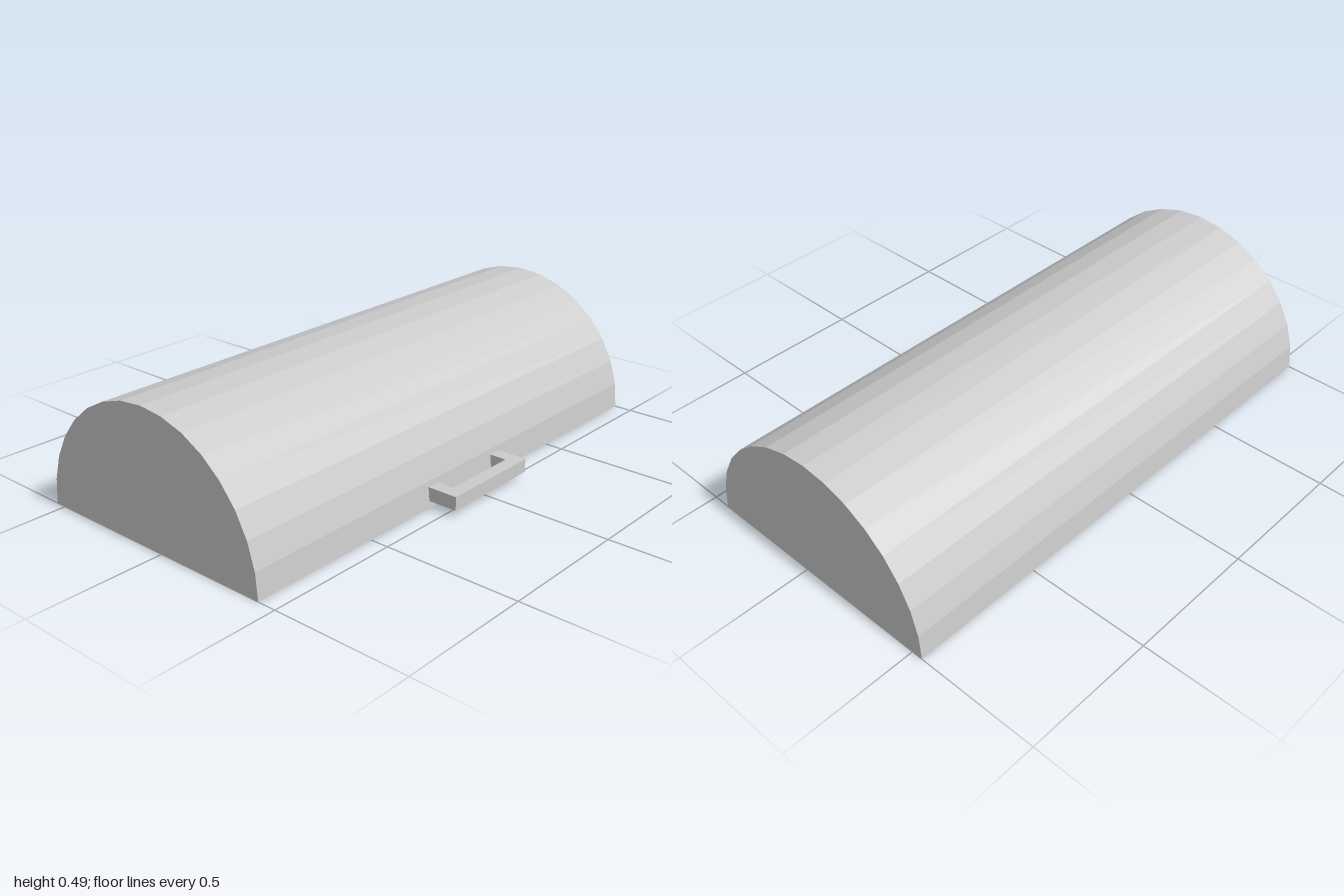
import * as THREE from 'three';

const RADIUS = 0.487, HALF = 1, WALL = 0.033, CENTER_Z = -0.055, SEGMENTS = 16;

const material = new THREE.MeshStandardMaterial({ color: 0xcccccc, flatShading: true });

function part(name, geometry) {
  const mesh = new THREE.Mesh(geometry, material);
  mesh.name = name;
  return mesh;
}

// Half cylinder lying along x with closed ends and an open underside
function halfDrum(radius, half, inward) {
  const indexed = new THREE.CylinderGeometry(radius, radius, half * 2, SEGMENTS, 1, false, 0, Math.PI);
  if (inward) indexed.index.array.reverse();
  const g = indexed.toNonIndexed();
  g.computeVertexNormals();
  g.rotateZ(Math.PI / 2);
  g.translate(0, 0, CENTER_Z);
  return g;
}

function polygon(points) {
  return points.map(([x, y]) => new THREE.Vector2(x, y));
}

function rectangle(hx, hy) {
  return polygon([[-hx, -hy], [hx, -hy], [hx, hy], [-hx, hy]]);
}

export function createModel() {
  const model = new THREE.Group();
  model.name = 'domedLid';

  // Hollow lid: outer skin, inner skin and the flat rim joining them
  const lid = new THREE.Group();
  lid.name = 'lid';
  lid.add(part('outerShell', halfDrum(RADIUS, HALF, false)));
  lid.add(part('innerShell', halfDrum(RADIUS - WALL, HALF - WALL, true)));

  const rim = new THREE.Shape(rectangle(HALF, RADIUS));
  rim.holes.push(new THREE.Path(rectangle(HALF - WALL, RADIUS - WALL)));
  const rimGeometry = new THREE.ShapeGeometry(rim);
  rimGeometry.rotateX(Math.PI / 2);
  rimGeometry.translate(0, 0, CENTER_Z);
  lid.add(part('rim', rimGeometry));
  model.add(lid);

  // U-shaped pull on the front edge, its feet set into the wall
  const handleShape = new THREE.Shape(polygon([
    [-0.2, 0.415], [-0.15, 0.415], [-0.15, 0.49], [0.15, 0.49],
    [0.15, 0.415], [0.2, 0.415], [0.2, 0.54], [-0.2, 0.54],
  ]));
  const handle = new THREE.ExtrudeGeometry(handleShape, { depth: 0.05, bevelEnabled: false });
  handle.rotateX(Math.PI / 2);
  handle.translate(0, 0.075, 0);
  model.add(part('handle', handle));

  return model;
}
